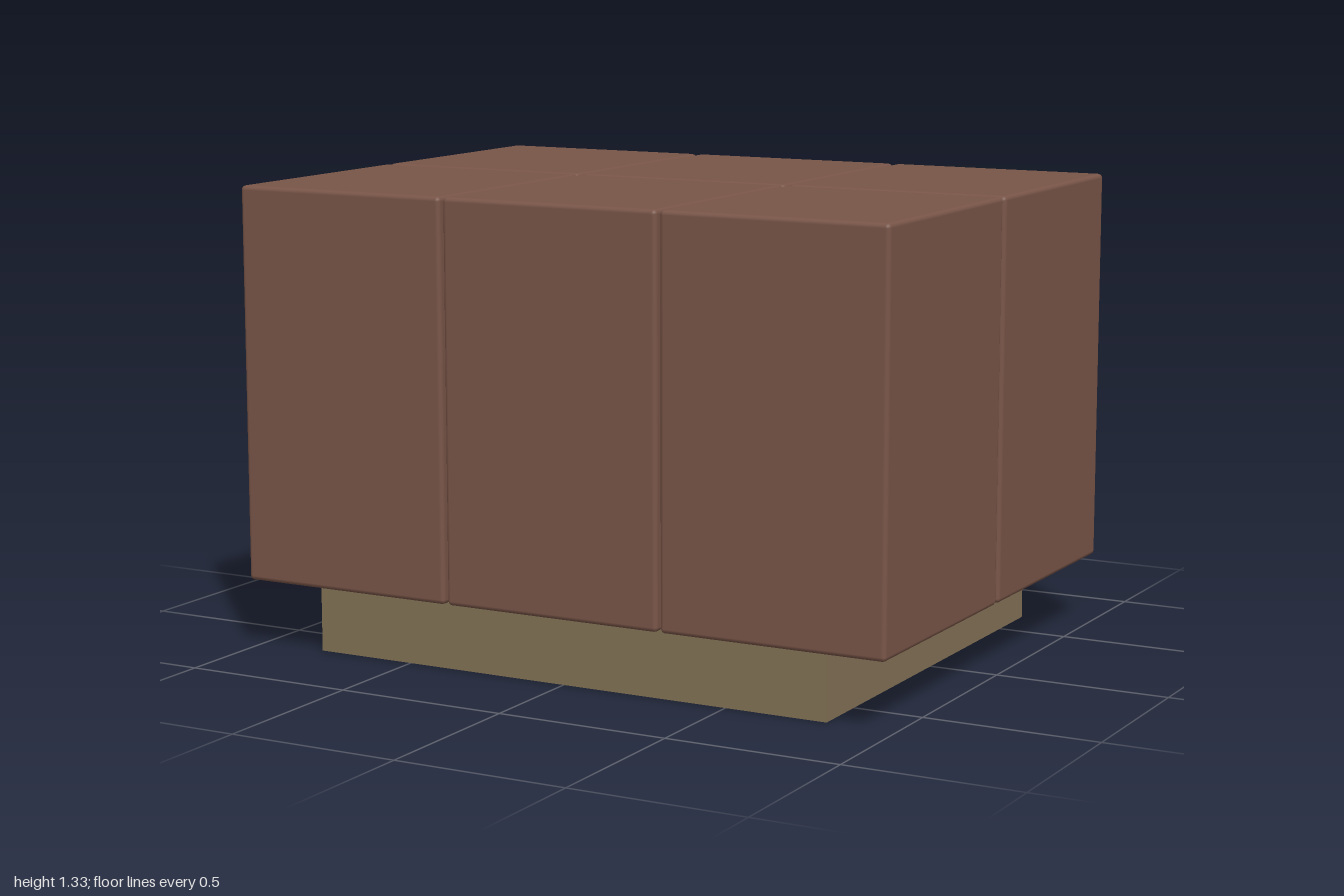
import * as THREE from 'three';
import { RoundedBoxGeometry } from 'three/addons/geometries/RoundedBoxGeometry.js';

export function createModel() {
  const model = new THREE.Group();
  model.name = 'palletOfCrates';

  // Solid base slab
  const slab = new THREE.Mesh(
    new THREE.BoxGeometry(1.6, 0.19, 1.333),
    new THREE.MeshStandardMaterial({ color: 0x837255 })
  );
  slab.name = 'palletBase';
  slab.position.y = 0.095;
  model.add(slab);

  // Six soft-edged crates, three across and two deep, with narrow gaps
  const width = 0.66, height = 1.13, depth = 0.731;
  const crateGeometry = new RoundedBoxGeometry(width, height, depth, 2, 0.013);
  const crateMaterial = new THREE.MeshStandardMaterial({ color: 0x795548 });
  const crates = new THREE.Group();
  crates.name = 'crates';
  for (const row of [-1, 1]) {
    for (const column of [-1, 0, 1]) {
      const crate = new THREE.Mesh(crateGeometry, crateMaterial);
      crate.name = `${row > 0 ? 'front' : 'back'}${['Right', 'Middle', 'Left'][column + 1]}Crate`;
      crate.position.set(column * 0.669, 0.2 + height / 2, row * 0.373);
      crates.add(crate);
    }
  }
  model.add(crates);
  return model;
}
